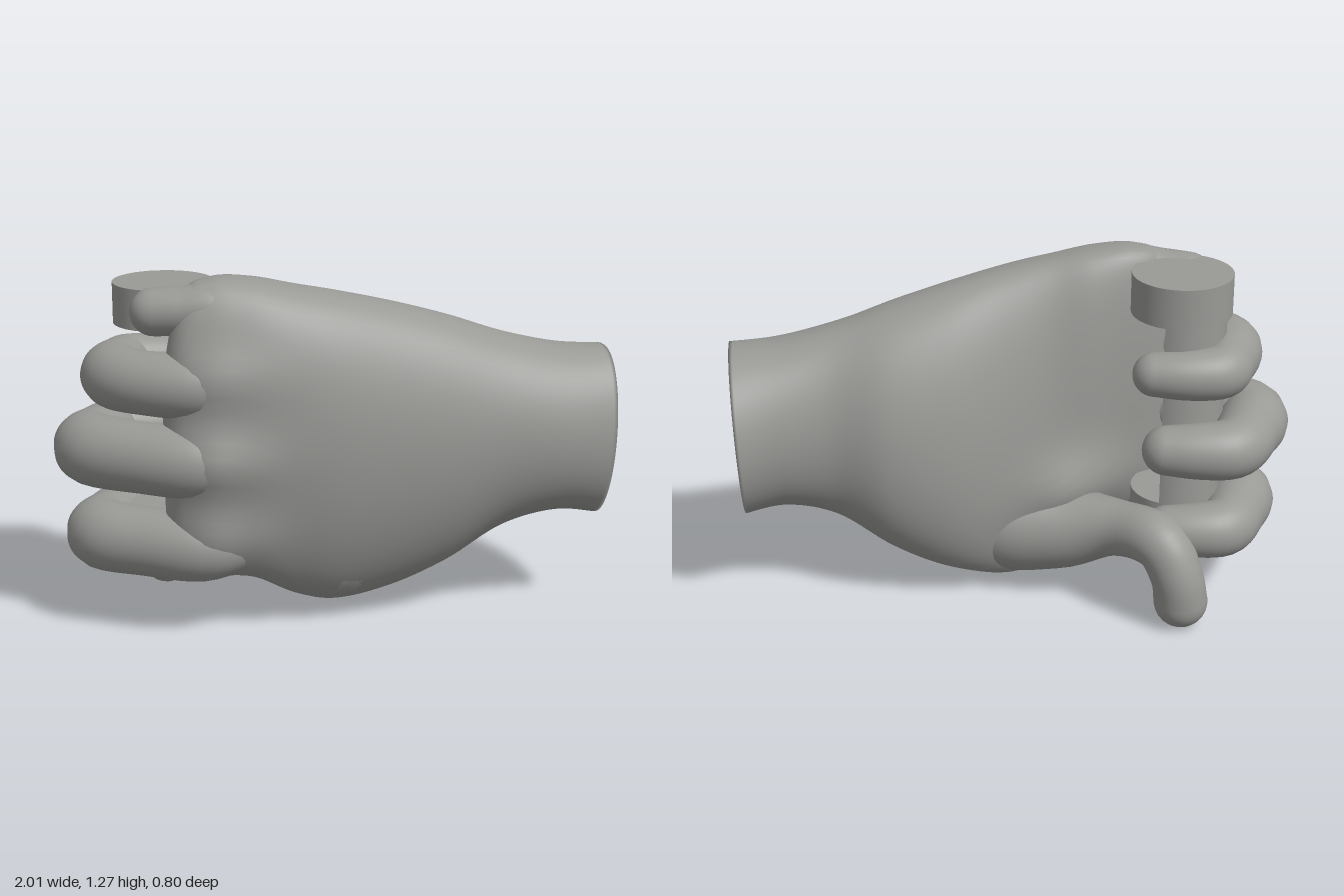
import * as THREE from 'three';

const SIDES = 64;

// Catmull-Rom interpolation of whole rows of numbers, t from 0 to 1
function sample(rows, t) {
  const f = t * (rows.length - 1);
  const i = Math.min(Math.floor(f), rows.length - 2);
  const u = f - i;
  const row = k => rows[Math.max(0, Math.min(rows.length - 1, k))];
  return rows[i].map((b, k) => {
    const a = row(i - 1)[k], c = row(i + 1)[k], d = row(i + 2)[k];
    return b + 0.5 * u * (c - a + u * (2 * a - 5 * b + 4 * c - d + u * (3 * (b - c) + d - a)));
  });
}

// Skin over a list of closed rings
function loft(rings) {
  const positions = [], index = [];
  rings.forEach(ring => ring.forEach(p => positions.push(p.x, p.y, p.z)));
  for (let i = 0; i < rings.length - 1; i++) {
    for (let j = 0; j < SIDES; j++) {
      const a = i * SIDES + j, b = i * SIDES + (j + 1) % SIDES;
      index.push(a, b, a + SIDES, b, b + SIDES, a + SIDES);
    }
  }
  const geometry = new THREE.BufferGeometry();
  geometry.setAttribute('position', new THREE.Float32BufferAttribute(positions, 3));
  geometry.setIndex(index);
  geometry.computeVertexNormals();
  return geometry;
}

const makeRing = fn => Array.from({ length: SIDES }, (_, j) => fn(j / SIDES * Math.PI * 2));

// Tapered tube with a rounded tip through rows of [x, y, z, radius]
function digit(rows, reference) {
  const rings = [], steps = 36;
  const centre = t => new THREE.Vector3(...sample(rows, t));
  const addRing = (c, tangent, r) => {
    const n = reference.clone().addScaledVector(tangent, -reference.dot(tangent)).normalize();
    const b = new THREE.Vector3().crossVectors(tangent, n);
    rings.push(makeRing(a => c.clone().addScaledVector(n, Math.cos(a) * r).addScaledVector(b, Math.sin(a) * r)));
  };
  let tangent, c, r;
  for (let i = 0; i <= steps; i++) {
    const t = i / steps;
    c = centre(t);
    r = sample(rows, t)[3];
    tangent = centre(Math.min(1, t + 0.01)).sub(centre(Math.max(0, t - 0.01))).normalize();
    addRing(c, tangent, r);
  }
  for (let i = 1; i <= 8; i++) {
    const a = i / 8 * Math.PI / 2;
    addRing(c.clone().addScaledVector(tangent, r * Math.sin(a)), tangent, r * Math.cos(a));
  }
  return loft(rings);
}

// Wrist to knuckles: x, top y, top z, bottom y, bottom z, front z, back z, slant, squareness
const PALM = [
  [0.975, 0.965, -0.10, 0.34, -0.10, 0.12, -0.38, 1, 0.9],
  [0.80, 0.98, -0.08, 0.36, -0.08, 0.17, -0.32, 0.5, 0.9],
  [0.60, 1.03, -0.04, 0.31, -0.06, 0.21, -0.28, 0, 0.9],
  [0.40, 1.10, 0.00, 0.18, -0.05, 0.25, -0.30, 0, 0.9],
  [0.20, 1.16, 0.04, 0.09, -0.04, 0.29, -0.26, 0, 0.88],
  [0.00, 1.21, 0.08, 0.05, -0.02, 0.33, -0.17, 0, 0.82],
  [-0.15, 1.24, 0.10, 0.09, 0.02, 0.35, -0.10, 0, 0.74],
  [-0.30, 1.27, 0.12, 0.19, 0.12, 0.365, -0.04, 0, 0.65],
  [-0.44, 1.275, 0.14, 0.22, 0.19, 0.365, 0.04, 0, 0.6],
  [-0.54, 1.22, 0.17, 0.235, 0.20, 0.325, 0.11, 0, 0.6],
  [-0.60, 0.98, 0.21, 0.36, 0.21, 0.26, 0.16, 0, 0.7],
  [-0.61, 0.70, 0.21, 0.70, 0.21, 0.21, 0.21, 0, 0.9],
];

const bell = (v, middle, width) => Math.exp(-(((v - middle) / width) ** 2));

// Raised knuckles with valleys between them, and the web between thumb and palm
const KNUCKLES = [[0.36, 0.03], [0.66, 0.045], [0.96, 0.035]];
const knuckle = (x, y) => bell(x, -0.44, 0.2) *
  KNUCKLES.reduce((sum, [ky, h]) => sum + h * bell(y, ky, 0.095), -0.012);
const thumbWeb = (x, y) => 0.09 * bell(x, -0.27, 0.17) * bell(y, 0.4, 0.13);

function palmRing(t) {
  const [x, yT, zT, yB, zB, front, back, slant, power] = sample(PALM, t);
  const midY = (yT + yB) / 2, midZ = (zT + zB) / 2;
  return makeRing(a => {
    const s = Math.sin(a), c = Math.cos(a);
    const y = midY + (yT - yB) / 2 * s;
    const depth = c > 0 ? front - midZ : midZ - back;
    const p = c > 0 || s > 0 ? power : 0.9;
    const bump = c * (c > 0 ? knuckle(x, y) : thumbWeb(x, y));
    const z = midZ + (zT - zB) / 2 * s + depth * Math.sign(c) * Math.abs(c) ** p + bump;
    return new THREE.Vector3(x + slant * (0.16 * z + 0.05 * (y - 0.65)), y, z);
  });
}

export function createModel() {
  const group = new THREE.Group();
  const grey = new THREE.MeshStandardMaterial({ color: 0x999996 });
  grey.name = 'clay grey';
  const add = (name, geometry) => {
    const mesh = new THREE.Mesh(geometry, grey);
    mesh.name = name;
    group.add(mesh);
    return mesh;
  };

  // Palm and back of the hand, closed at the wrist
  const rings = Array.from({ length: 89 }, (_, i) => palmRing(i / 88));
  const middle = rings[0].reduce((sum, p) => sum.add(p), new THREE.Vector3()).divideScalar(SIDES);
  add('palm', loft([rings[0].map(() => middle), ...rings]));

  // Three fingers curled round the grip: name, y, radius, knuckle z, bend x, second bend x, tip x, tip z
  const up = new THREE.Vector3(0, 1, 0);
  [
    ['indexFinger', 0.332, 0.127, 0.235, -0.84, -0.78, -0.58, -0.20],
    ['middleFinger', 0.65, 0.13, 0.265, -0.87, -0.80, -0.57, -0.21],
    ['ringFinger', 0.917, 0.115, 0.25, -0.785, -0.74, -0.52, -0.16],
  ].forEach(([name, y, r, kz, bend, bend2, tipX, tipZ]) => add(name, digit([
    [-0.34, y + 0.01, kz - 0.03, r * 0.8],
    [-0.48, y, kz, r],
    [-0.68, y, kz - 0.055, r * 0.97],
    [bend, y, 0.09, r],
    [bend + 0.015, y, -0.05, r * 0.9],
    [bend2, y, tipZ + 0.03, r * 0.83],
    [(bend2 + tipX) / 2, y, tipZ, r * 0.77],
    [tipX, y, tipZ, r * 0.68],
  ], up)));

  // Little finger resting against the grip cap
  add('littleFinger', digit([
    [-0.30, 1.15, 0.17, 0.075],
    [-0.42, 1.17, 0.18, 0.095],
    [-0.54, 1.165, 0.18, 0.086],
    [-0.635, 1.16, 0.165, 0.084],
  ], up));

  // Thumb with its fleshy base, hooked downward behind the grip
  add('thumb', digit([
    [0.16, 0.36, 0.02, 0.1],
    [0.02, 0.26, 0.02, 0.19],
    [-0.20, 0.255, -0.045, 0.16],
    [-0.40, 0.305, -0.145, 0.103],
    [-0.55, 0.315, -0.26, 0.1],
    [-0.615, 0.21, -0.305, 0.093],
    [-0.635, 0.1, -0.3, 0.096],
  ], new THREE.Vector3(-1, 0, 1).normalize()));

  // Grip: cap, partial shell and solid foot
  const place = (name, geometry, y) => add(name, geometry).position.set(-0.61, y, 0);
  place('gripCap', new THREE.CylinderGeometry(0.178, 0.178, 0.145, 40), 1.163);
  place('gripShell', new THREE.CylinderGeometry(0.16, 0.16, 0.74, 24, 1, true, Math.PI * 0.88, Math.PI * 0.62), 0.75);
  place('gripFoot', new THREE.CylinderGeometry(0.16, 0.16, 0.2, 40), 0.31);

  return group;
}
